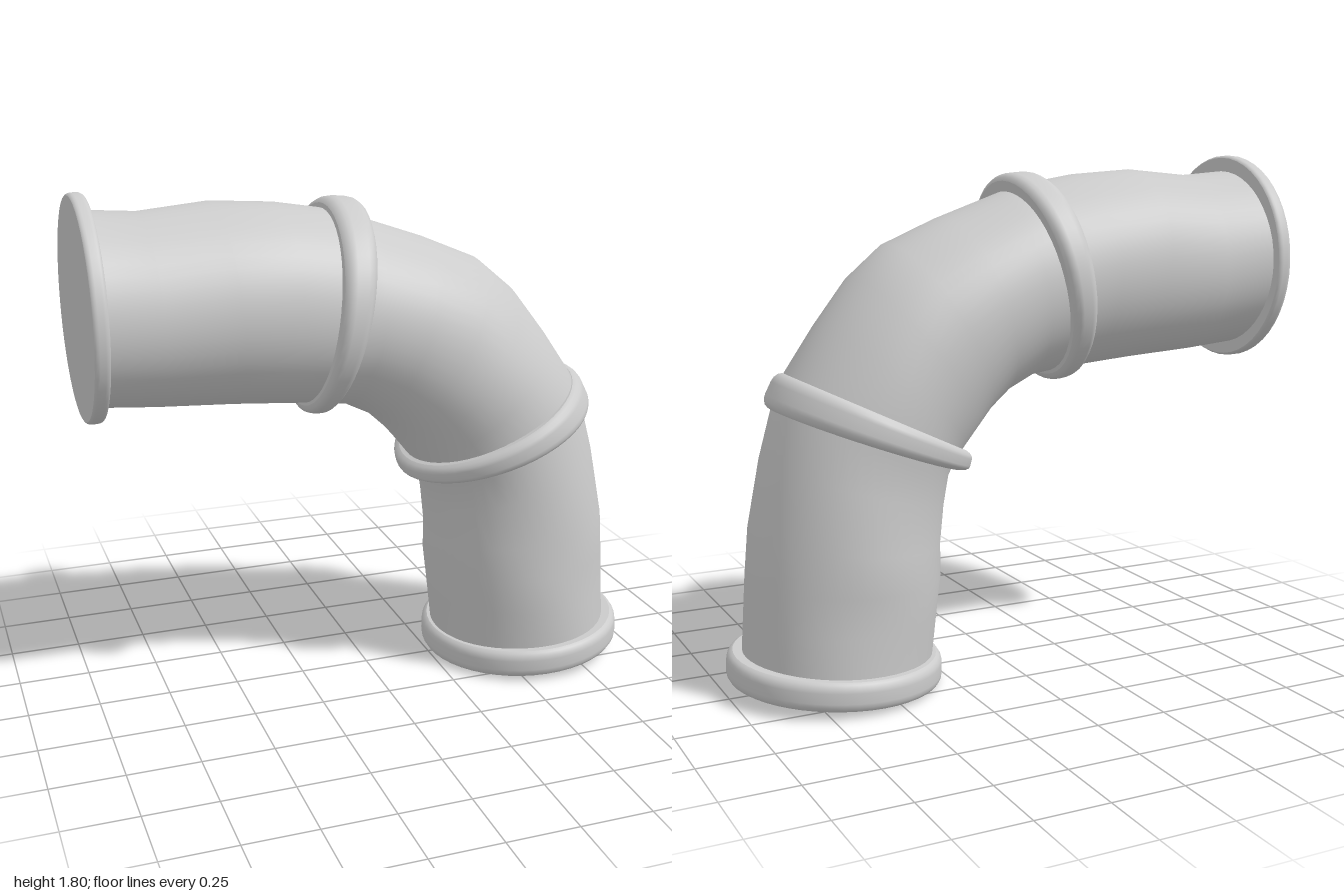
import * as THREE from 'three';

const SEGMENTS = 48;

// Elliptical cross-sections: [outer x, outer y, inner x, inner y, half depth]
function loft(sections, ripple = 0) {
  const pos = [], index = [], row = SEGMENTS + 1;
  const addRow = ([ox, oy, ix, iy, hz], k, dent) => {
    const cx = (ox + ix) / 2, cy = (oy + iy) / 2;
    for (let j = 0; j <= SEGMENTS; j++) {
      const t = (j % SEGMENTS) / SEGMENTS * Math.PI * 2;
      const r = 1 + dent * Math.sin(3 * t + k * 1.9) * Math.sin(t) ** 2;
      const c = Math.cos(t) * r;
      pos.push(cx + (ox - cx) * c, cy + (oy - cy) * c, Math.sin(t) * hz * r);
    }
  };
  sections.forEach((s, k) => addRow(s, k, ripple));
  for (let i = 0; i < sections.length - 1; i++) {
    for (let j = 0; j < SEGMENTS; j++) {
      const a = i * row + j, b = a + 1, c = a + row, d = c + 1;
      index.push(a, b, c, b, d, c);
    }
  }
  // Flat end caps with their own vertices, so the rim stays sharp
  [0, sections.length - 1].forEach((k) => {
    const s = sections[k], start = pos.length / 3;
    addRow(s, k, ripple);
    const centre = pos.length / 3;
    pos.push((s[0] + s[2]) / 2, (s[1] + s[3]) / 2, 0);
    for (let j = start; j < start + SEGMENTS; j++) {
      if (k === 0) index.push(centre, j + 1, j);
      else index.push(centre, j, j + 1);
    }
  });
  const g = new THREE.BufferGeometry();
  g.setAttribute('position', new THREE.Float32BufferAttribute(pos, 3));
  g.setIndex(index);
  g.computeVertexNormals();
  // Share the normals across the lengthwise seam
  const n = g.attributes.normal;
  for (let i = 0; i < sections.length; i++) {
    const a = i * row, b = a + SEGMENTS;
    const v = new THREE.Vector3().fromBufferAttribute(n, a)
      .add(new THREE.Vector3().fromBufferAttribute(n, b)).normalize();
    n.setXYZ(a, v.x, v.y, v.z);
    n.setXYZ(b, v.x, v.y, v.z);
  }
  return g;
}

// Wedge-shaped collar with rounded rims, between two slanted end sections
function collar(start, end, bevel) {
  const profile = [[0, 1], [0.06, 0.5], [0.18, 0.12], [0.32, 0],
    [0.68, 0], [0.82, 0.12], [0.94, 0.5], [1, 1]];
  return loft(profile.map(([t, inset]) => {
    const s = start.map((v, i) => v + (end[i] - v) * t);
    const cx = (s[0] + s[2]) / 2, cy = (s[1] + s[3]) / 2;
    const k = 1 - inset * bevel / s[4];
    return [cx + (s[0] - cx) * k, cy + (s[1] - cy) * k,
      cx + (s[2] - cx) * k, cy + (s[3] - cy) * k, s[4] * k];
  }));
}

export function createModel() {
  const group = new THREE.Group();
  const material = new THREE.MeshStandardMaterial({ color: 0xcccccc });
  const add = (name, geometry) => {
    const mesh = new THREE.Mesh(geometry, material);
    mesh.name = name;
    group.add(mesh);
  };

  // Slightly dented pipe, from the side opening round the bend to the foot
  add('bentPipe', loft([
    [-0.98, 1.75, -0.98, 1.11, 0.335],
    [-0.78, 1.735, -0.76, 1.09, 0.325],
    [-0.54, 1.757, -0.5, 1.075, 0.335],
    [-0.32, 1.742, -0.32, 1.06, 0.33],
    [-0.1, 1.705, -0.21, 1.05, 0.325],
    [0.0, 1.67, -0.1, 1.035, 0.325],
    [0.2, 1.6, 0.0, 0.985, 0.33],
    [0.4, 1.515, 0.07, 0.92, 0.335],
    [0.53, 1.405, 0.12, 0.86, 0.34],
    [0.65, 1.25, 0.16, 0.81, 0.34],
    [0.76, 1.09, 0.19, 0.77, 0.335],
    [0.81, 0.97, 0.22, 0.72, 0.335],
    [0.86, 0.8, 0.235, 0.62, 0.325],
    [0.905, 0.56, 0.25, 0.49, 0.342],
    [0.92, 0.4, 0.248, 0.38, 0.338],
    [0.93, 0.26, 0.265, 0.25, 0.335],
    [0.942, 0.08, 0.287, 0.05, 0.33],
  ], 0.012));

  // Collars at both ends and at the two joints
  add('sideFlange', collar([-1, 1.805, -1, 1.055, 0.375], [-0.95, 1.805, -0.95, 1.055, 0.375], 0.008));
  add('upperCollar', collar([-0.15, 1.755, -0.26, 1.02, 0.375], [-0.025, 1.745, -0.19, 1.01, 0.375], 0.025));
  add('lowerCollar', collar([0.785, 1.1, 0.13, 0.785, 0.375], [0.845, 0.985, 0.145, 0.725, 0.375], 0.025));
  add('footFlange', collar([0.99, 0.142, 0.25, 0.1, 0.375], [0.997, 0.043, 0.25, 0.0, 0.375], 0.02));

  return group;
}
